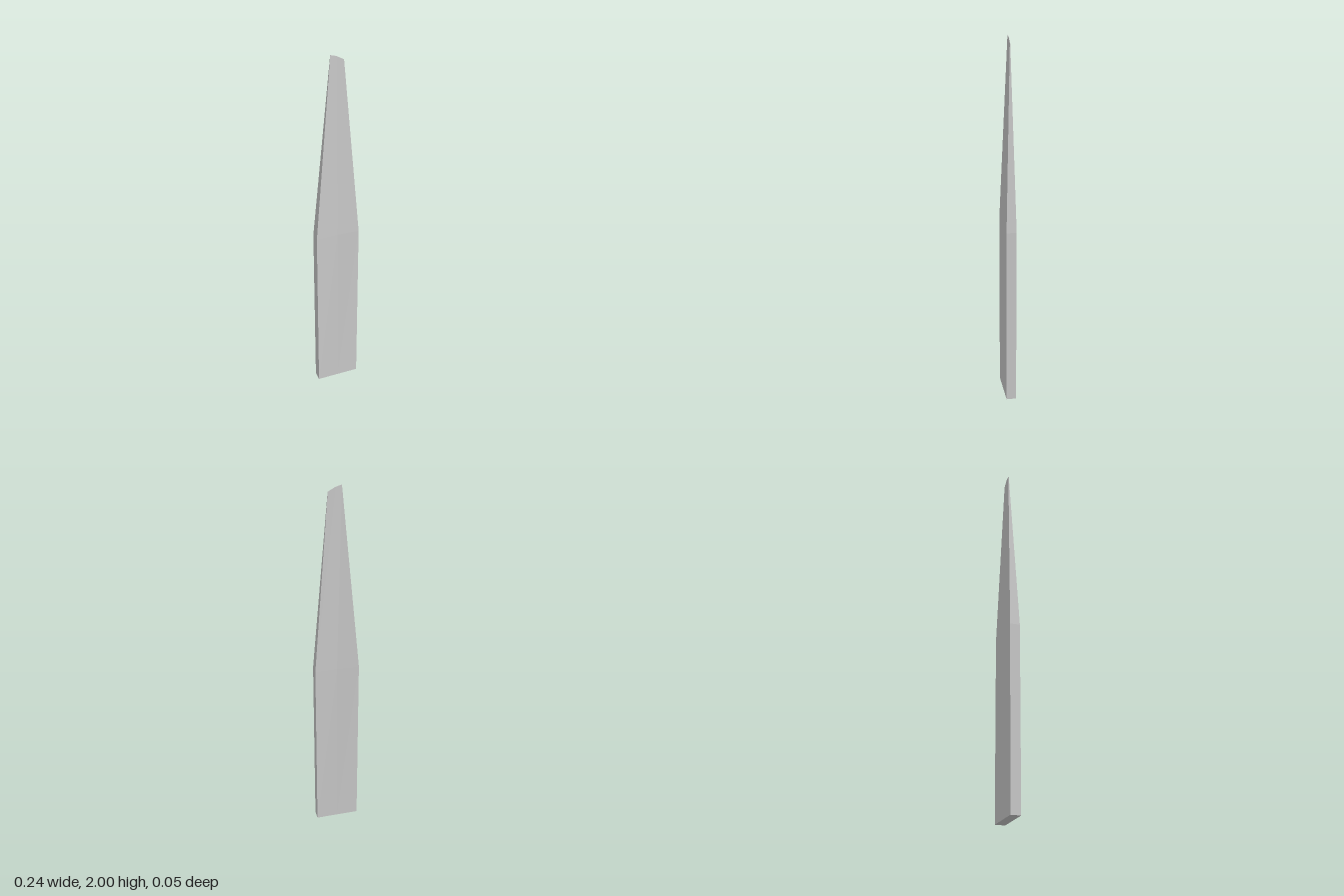
import * as THREE from 'three';

// Left, middle and right columns of each level, as [x, y, z of back, z of front]
const LEVELS = [
  // square base
  [[-0.12, 0, -0.027, 0.027], [0, 0, -0.027, 0.027], [0.12, 0, -0.027, 0.027]],
  // shoulder, slightly hollowed on both faces
  [[-0.12, 1, -0.027, 0.027], [0, 1, -0.022, 0.021], [0.12, 1, -0.027, 0.027]],
  // thin slanted tip
  [[-0.028, 2, -0.005, -0.003], [0.004, 1.991, -0.006, -0.004], [0.042, 1.97, -0.005, -0.003]],
];

export function createModel() {
  const group = new THREE.Group();
  group.name = 'taperedBlade';

  // Unit grid box whose corners are moved onto the cross-sections
  const geometry = new THREE.BoxGeometry(2, 2, 2, 2, 2, 1);
  const pos = geometry.attributes.position;
  for (let i = 0; i < pos.count; i++) {
    const column = Math.round(pos.getX(i)) + 1;
    const level = Math.round(pos.getY(i)) + 1;
    const [x, y, back, front] = LEVELS[level][column];
    pos.setXYZ(i, x, y, pos.getZ(i) > 0 ? front : back);
  }
  const flat = geometry.toNonIndexed();
  flat.computeVertexNormals();

  const blade = new THREE.Mesh(
    flat,
    new THREE.MeshStandardMaterial({ color: 0xcccccc, flatShading: true })
  );
  blade.name = 'blade';
  group.add(blade);
  return group;
}
